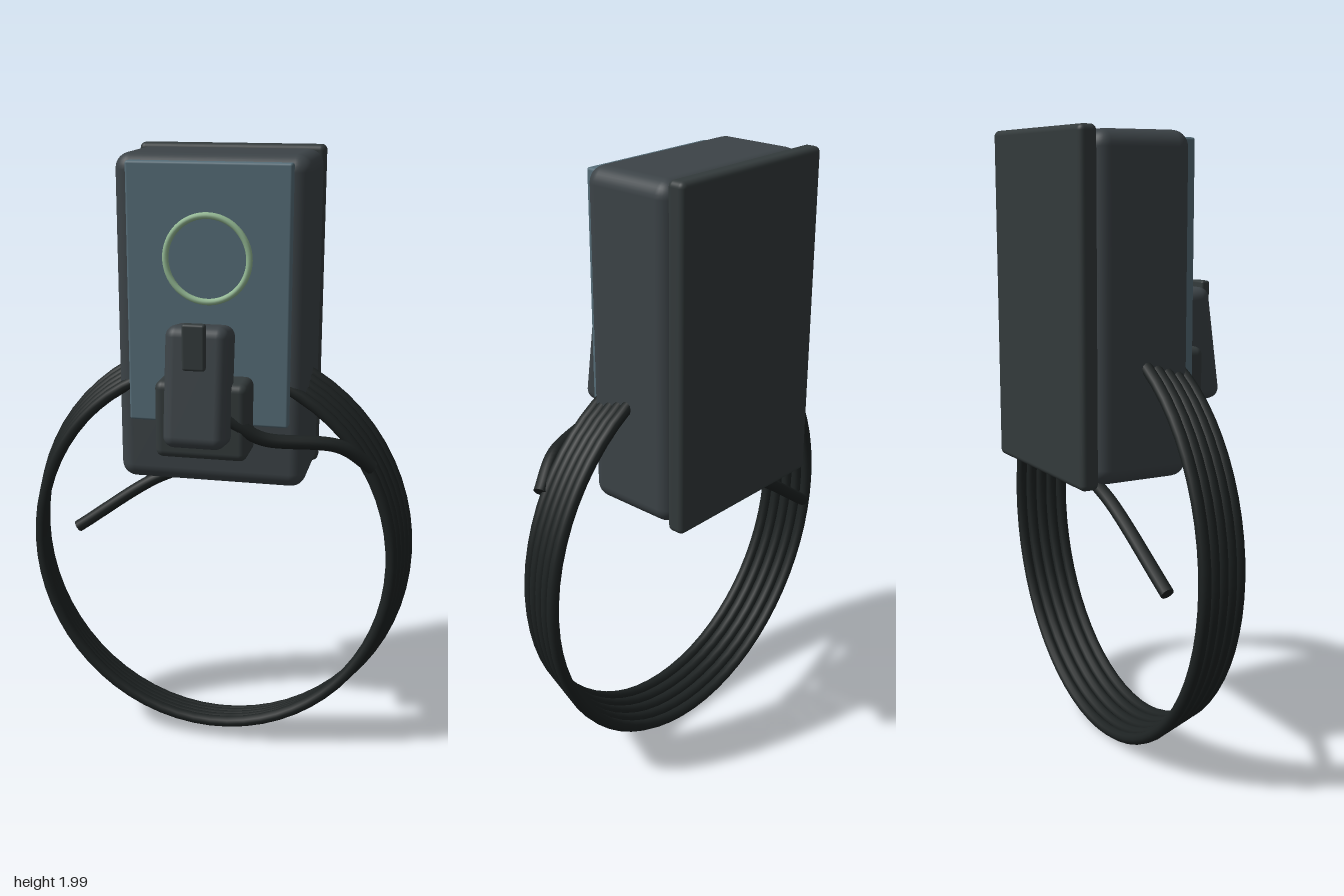
import * as THREE from 'three';
import { RoundedBoxGeometry } from 'three/addons/geometries/RoundedBoxGeometry.js';

const paint = (color) => new THREE.MeshStandardMaterial({ color });

export function createModel() {
  const model = new THREE.Group();
  const shell = paint(0x3c4347);
  const dark = paint(0x333a3b);
  const rubber = paint(0x1d2222);
  const glass = paint(0x566d78);
  const glow = paint(0x93b893);

  const add = (name, geometry, material, x = 0, y = 0, z = 0) => {
    const mesh = new THREE.Mesh(geometry, material);
    mesh.name = name;
    mesh.position.set(x, y, z);
    model.add(mesh);
    return mesh;
  };
  // Rounded block given by its size, edge radius and centre
  const block = (name, w, h, d, r, material, x, y, z) =>
    add(name, new RoundedBoxGeometry(w, h, d, 4, r), material, x, y, z);

  // Wall unit
  block('backPlate', 0.61, 1.055, 0.06, 0.018, dark, 0, 1.4725, -0.28);
  block('housing', 0.61, 1.04, 0.325, 0.05, shell, 0, 1.47, -0.0955);
  block('frontPanel', 0.51, 0.805, 0.04, 0.008, glass, 0, 1.5675, 0.082);
  add('statusRing', new THREE.TorusGeometry(0.13, 0.01, 10, 64), glow, 0, 1.685, 0.108);

  // Connector resting in its holster
  block('holster', 0.29, 0.245, 0.15, 0.025, dark, 0, 1.2025, 0.14);
  const handle = block('connectorHandle', 0.195, 0.37, 0.145, 0.035, shell, 0, 1.32, 0.222);
  handle.rotation.x = -0.14;
  block('releaseButton', 0.07, 0.14, 0.03, 0.008, dark, 0, 1.455, 0.288);

  // Coiled cable: oval loops growing towards the wall
  class Oval extends THREE.Curve {
    constructor(a, b) { super(); this.a = a; this.b = b; }
    getPoint(t, target = new THREE.Vector3()) {
      const angle = t * Math.PI * 2;
      return target.set(this.a * Math.cos(angle), this.b * Math.sin(angle), 0);
    }
  }
  for (let i = 0; i < 5; i++) {
    const loop = new Oval(0.593 + i * 0.01, 0.633 + i * 0.0105);
    add('cableLoop', new THREE.TubeGeometry(loop, 64, 0.019, 10, true), rubber, 0, 0.705, 0.056 - i * 0.036);
  }

  // Loose cable ends, with capped tips
  const cable = (name, radius, points) => {
    const path = new THREE.CatmullRomCurve3(points.map((p) => new THREE.Vector3(...p)), false, 'centripetal');
    add(name, new THREE.TubeGeometry(path, 40, radius, 10), rubber);
    for (const t of [0, 1]) {
      const p = path.getPoint(t);
      const cap = add(name + 'End', new THREE.CircleGeometry(radius, 10), rubber, p.x, p.y, p.z);
      cap.lookAt(p.clone().addScaledVector(path.getTangent(t), t ? 1 : -1));
    }
  };
  cable('connectorCable', 0.022, [
    [0.02, 1.26, 0.21], [0.11, 1.2, 0.2], [0.19, 1.152, 0.178], [0.42, 1.122, 0.112], [0.52, 1.045, 0.068],
  ]);
  cable('supplyCable', 0.021, [
    [0.06, 0.975, -0.175], [-0.06, 0.94, -0.175], [-0.23, 0.88, -0.172], [-0.53, 0.675, -0.15],
  ]);

  return model;
}
